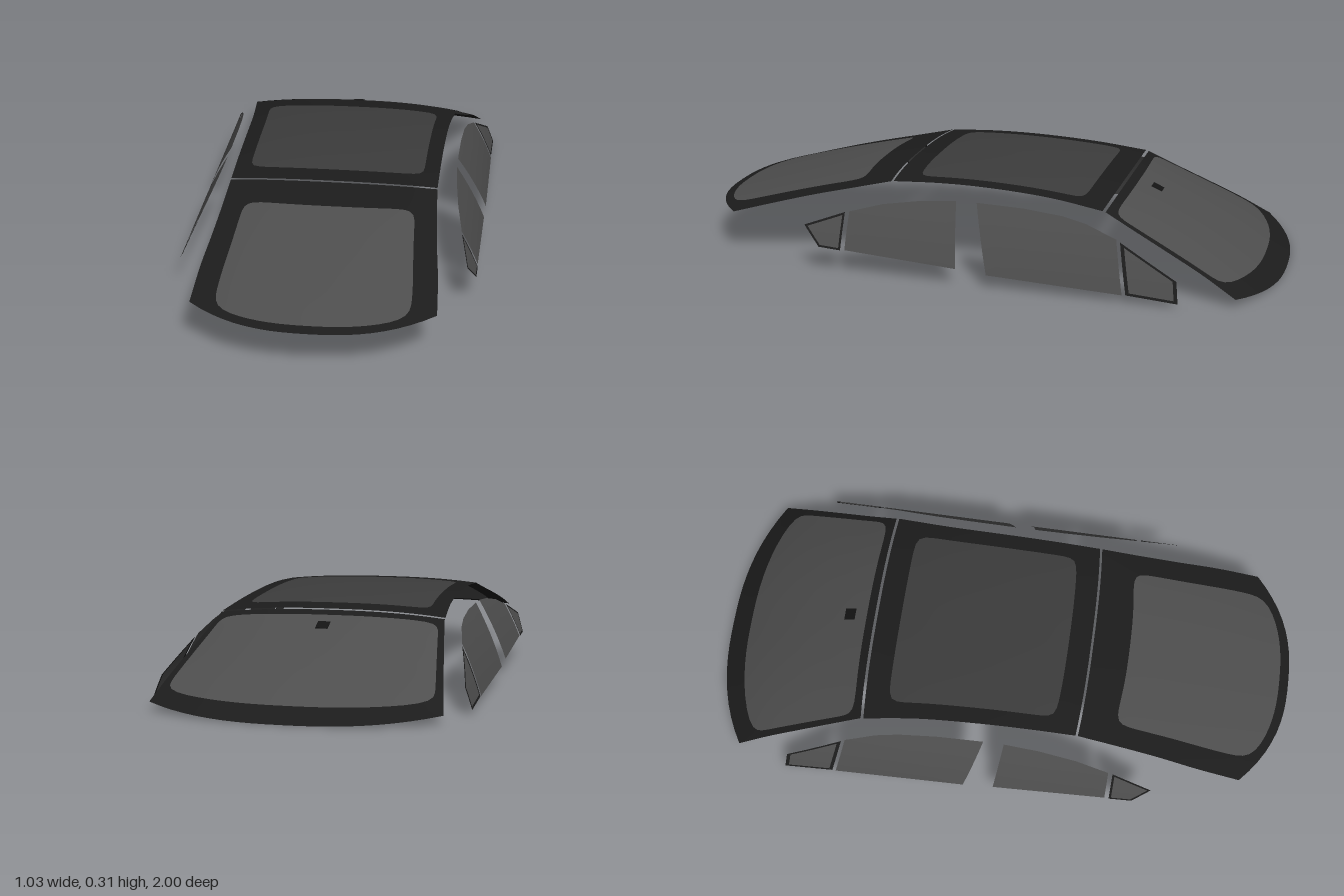
import * as THREE from 'three';

const paint = (color) => new THREE.MeshStandardMaterial({ color, side: THREE.DoubleSide });
const border = paint(0x1c1c1c);
const clearGlass = paint(0x4e4e4e);
const roofGlass = paint(0x3c3c3c);
const black = paint(0x141414);

const lerp = THREE.MathUtils.lerp;

// Splits every edge of a closed 2D outline into n steps
function subdivide(corners, n) {
  return corners.flatMap(([ax, ay], i) => {
    const [bx, by] = corners[(i + 1) % corners.length];
    return Array.from({ length: n }, (_, k) => [lerp(ax, bx, k / n), lerp(ay, by, k / n)]);
  });
}

// Fills the band between two matching 2D loops and lifts it onto a 3D surface
function band(name, material, inner, outer, rows, surface, flip = false) {
  const n = inner.length, positions = [], index = [];
  for (let k = 0; k <= rows; k++) {
    for (let i = 0; i < n; i++) {
      const a = inner[i], b = outer[i], t = k / rows;
      positions.push(...surface(lerp(a[0], b[0], t), lerp(a[1], b[1], t)));
      if (k === rows) continue;
      const j = (i + 1) % n;
      const p = k * n + i, q = k * n + j, r = p + n, s = q + n;
      if (flip) index.push(p, s, r, p, q, s);
      else index.push(p, r, s, p, s, q);
    }
  }
  const geometry = new THREE.BufferGeometry();
  geometry.setAttribute('position', new THREE.Float32BufferAttribute(positions, 3));
  geometry.setIndex(index);
  geometry.computeVertexNormals();
  const mesh = new THREE.Mesh(geometry, material);
  mesh.name = name;
  return mesh;
}

// Curved panel: centre line [y, z] and side line [x, y, z], bowed across its width
function panelSurface(centre, side) {
  const c = new THREE.CatmullRomCurve3(centre.map(([y, z]) => new THREE.Vector3(0, y, z)));
  const e = new THREE.CatmullRomCurve3(side.map((p) => new THREE.Vector3(...p)));
  return (u, v) => {
    const a = c.getPoint(v), b = e.getPoint(v), w = Math.abs(u) ** 2.5;
    return [u * b.x, lerp(a.y, b.y, w), lerp(a.z, b.z, w)];
  };
}

// Panel with a dark border around a rounded pane
function panel(name, glass, surface, halfU, v0, v1, roundness) {
  const group = new THREE.Group();
  group.name = name;
  const square = subdivide([[1, 1], [1, -1], [-1, -1], [-1, 1]], 20);
  const outer = square.map(([x, y]) => [x, (y + 1) / 2]);
  const pane = square.map(([x, y]) => {
    const s = (Math.abs(x) ** roundness + Math.abs(y) ** roundness) ** (-1 / roundness);
    return [x * s * halfU, lerp(v0, v1, (y * s + 1) / 2)];
  });
  const middle = pane.map(() => [0, (v0 + v1) / 2]);
  group.add(
    band(name + 'Pane', glass, middle, pane, 12, surface),
    band(name + 'Border', border, pane, outer, 4, surface),
  );
  return group;
}

// Side window outline given as [z, y]; the side of the cabin leans in towards the roof
function sideWindow(name, corners, sign, framed) {
  const group = new THREE.Group();
  group.name = name;
  const surface = (z, y) => {
    const d = 0.255 - y;
    return [sign * (0.4 + 0.615 * d - 0.6 * d * d), y, z];
  };
  const outline = subdivide(corners, 6);
  const mid = [0, 1].map((k) => outline.reduce((sum, p) => sum + p[k], 0) / outline.length);
  const shrink = (f) => outline.map((p) => p.map((value, k) => lerp(mid[k], value, f)));
  const pane = framed ? shrink(0.86) : outline;
  group.add(band(name + 'Pane', clearGlass, shrink(0), pane, 6, surface, sign < 0));
  if (framed) group.add(band(name + 'Border', border, pane, outline, 1, surface, sign < 0));
  return group;
}

export function createModel() {
  const model = new THREE.Group();
  model.name = 'carGlass';

  // Windshield, roof and rear window
  const windshield = panelSurface(
    [[0, -1], [0.082, -0.86], [0.15, -0.73], [0.215, -0.59], [0.272, -0.457]],
    [[0.46, 0.028, -0.884], [0.437, 0.09, -0.775], [0.415, 0.147, -0.66], [0.394, 0.2, -0.55], [0.375, 0.252, -0.445]],
  );
  const roof = panelSurface(
    [[0.275, -0.447], [0.297, -0.25], [0.31, -0.03], [0.31, 0.15], [0.302, 0.298]],
    [[0.375, 0.255, -0.435], [0.358, 0.28, -0.25], [0.35, 0.294, -0.03], [0.347, 0.295, 0.13], [0.345, 0.288, 0.286]],
  );
  const rear = panelSurface(
    [[0.3, 0.306], [0.265, 0.48], [0.226, 0.65], [0.184, 0.82], [0.137, 1]],
    [[0.345, 0.287, 0.294], [0.352, 0.255, 0.43], [0.361, 0.222, 0.57], [0.373, 0.185, 0.71], [0.38, 0.142, 0.86]],
  );
  model.add(
    panel('windshield', clearGlass, windshield, 0.95, 0.13, 0.945, 14),
    panel('roof', roofGlass, roof, 0.85, 0.105, 0.87, 16),
    panel('rearWindow', clearGlass, rear, 0.8, 0.18, 0.955, 12),
  );

  // Mirror mount near the top of the windshield
  const mount = new THREE.Mesh(new THREE.BoxGeometry(0.04, 0.006, 0.04), black);
  mount.name = 'mirrorMount';
  mount.position.set(...windshield(0, 0.83));
  mount.rotation.x = -0.42;
  model.add(mount);

  // Side windows, mirrored left and right
  const windows = [
    ['rearDoorWindow', false, [[0.413, 0.198], [0.413, 0.08], [0.025, 0.055], [0.05, 0.255], [0.17, 0.247], [0.3, 0.228]]],
    ['frontDoorWindow', false, [[-0.02, 0.255], [-0.08, 0.045], [-0.53, 0.025], [-0.495, 0.185], [-0.39, 0.222], [-0.31, 0.238], [-0.18, 0.25]]],
    ['rearQuarterWindow', true, [[0.565, 0.147], [0.505, 0.083], [0.428, 0.078], [0.428, 0.195]]],
    ['frontQuarterWindow', true, [[-0.508, 0.178], [-0.542, 0.026], [-0.71, 0.014], [-0.7, 0.08]]],
  ];
  for (const [name, framed, corners] of windows) {
    model.add(sideWindow(name + 'Left', corners, 1, framed));
    model.add(sideWindow(name + 'Right', corners, -1, framed));
  }
  return model;
}
